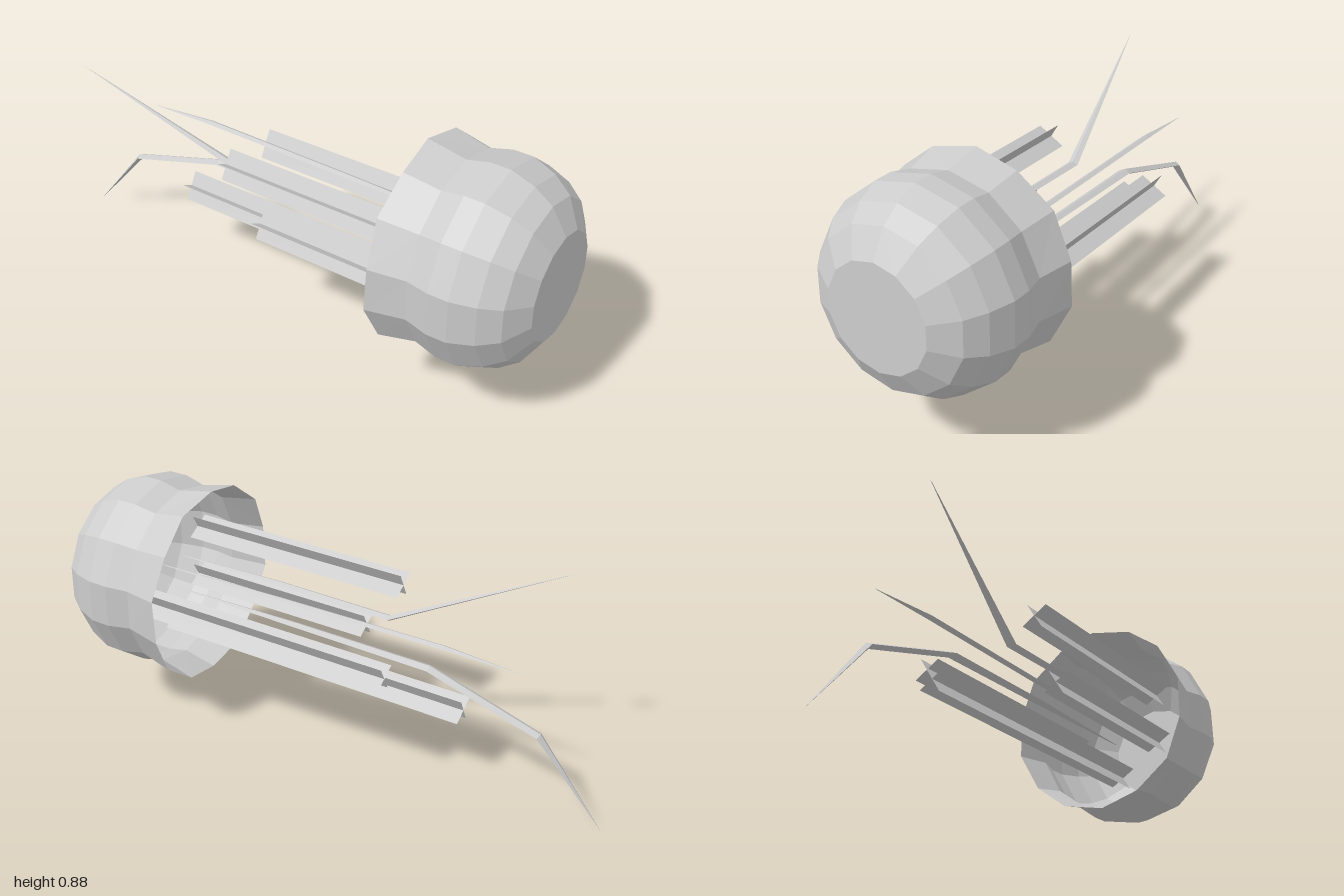
import * as THREE from 'three';

const material = new THREE.MeshStandardMaterial({
  color: 0xcccccc, flatShading: true, side: THREE.DoubleSide,
});
const SIDES = 14;

function addMesh(parent, geometry, name) {
  const mesh = new THREE.Mesh(geometry, material);
  mesh.name = name;
  parent.add(mesh);
  return mesh;
}

// Open bell: profile of [radius, z], turned around the z axis, with a scalloped rim
function bellGeometry() {
  const profile = [
    [0.358, 0.52], [0.33, 0.65], [0.349, 0.73], [0.348, 0.8],
    [0.318, 0.88], [0.272, 0.942], [0.182, 0.994], [0, 0.994],
  ].map(([r, z]) => new THREE.Vector2(r, z));
  const geometry = new THREE.LatheGeometry(profile, SIDES);
  const pos = geometry.attributes.position;
  for (let i = 0; i <= SIDES; i++) {
    const k = i * profile.length;
    pos.setY(k, pos.getY(k) + (i % 2 ? -0.005 : 0.005));
  }
  return geometry.rotateX(Math.PI / 2);
}

// Oral arm: two long crossed blades running along z
function addArm(parent, x, y, zEnd) {
  const zStart = 0.7;
  const arm = new THREE.Group();
  arm.name = 'oralArm';
  arm.position.set(x, y, (zStart + zEnd) / 2);
  for (const angle of [-Math.PI / 6, Math.PI / 3]) {
    const blade = new THREE.PlaneGeometry(0.11, zStart - zEnd).rotateX(Math.PI / 2);
    addMesh(arm, blade.rotateZ(angle), 'armBlade');
  }
  parent.add(arm);
}

// Tentacle: slim diamond cross-sections along points of [x, y, z, halfWidth]
function tentacleGeometry(points) {
  const positions = [];
  const index = [];
  points.forEach(([x, y, z, w], i) => {
    const a = points[Math.max(i - 1, 0)];
    const b = points[Math.min(i + 1, points.length - 1)];
    const along = new THREE.Vector3(b[0] - a[0], b[1] - a[1], b[2] - a[2]).normalize();
    const side = new THREE.Vector3(1, 0, 0);
    const up = new THREE.Vector3().crossVectors(along, side).normalize();
    for (let j = 0; j < 4; j++) {
      const t = j * Math.PI / 2;
      const p = new THREE.Vector3(x, y, z)
        .addScaledVector(side, w * Math.cos(t))
        .addScaledVector(up, w * 0.5 * Math.sin(t));
      positions.push(p.x, p.y, p.z);
      if (i > 0) {
        const n = i * 4 + j, m = i * 4 + (j + 1) % 4;
        index.push(n - 4, m - 4, n, m - 4, m, n);
      }
    }
  });
  const geometry = new THREE.BufferGeometry();
  geometry.setAttribute('position', new THREE.Float32BufferAttribute(positions, 3));
  geometry.setIndex(index);
  geometry.computeVertexNormals();
  return geometry;
}

export function createModel() {
  const model = new THREE.Group();
  model.name = 'jellyfish';

  // Bell and arms share a slightly raised axis
  const body = new THREE.Group();
  body.name = 'body';
  body.position.y = 0.5;
  body.rotation.x = -0.035;
  model.add(body);
  addMesh(body, bellGeometry(), 'bell');

  addArm(body, -0.17, 0.11, -0.16);
  addArm(body, 0, -0.193, -0.49);
  addArm(body, 0.19, -0.035, -0.28);
  addArm(body, -0.165, -0.085, -0.03);

  // Trailing tentacles, bent at their joints and pointed at both ends
  const tentacles = [
    [[0.025, 0.475, 0.7, 0.002], [0.025, 0.455, 0.15, 0.018], [0.022, 0.43, -0.36, 0.022],
      [0.025, 0.295, -0.76, 0.02], [0.025, 0, -1, 0.0005]],
    [[-0.078, 0.55, 0.7, 0.002], [-0.078, 0.54, 0.3, 0.016], [-0.076, 0.52, -0.16, 0.019],
      [-0.2, 0.79, -0.77, 0.0005]],
    [[0.06, 0.575, 0.69, 0.002], [0.063, 0.565, 0.2, 0.014], [0.065, 0.552, -0.43, 0.014],
      [0.063, 0.53, -0.7, 0.0005]],
  ];
  for (const points of tentacles) addMesh(model, tentacleGeometry(points), 'tentacle');

  return model;
}
